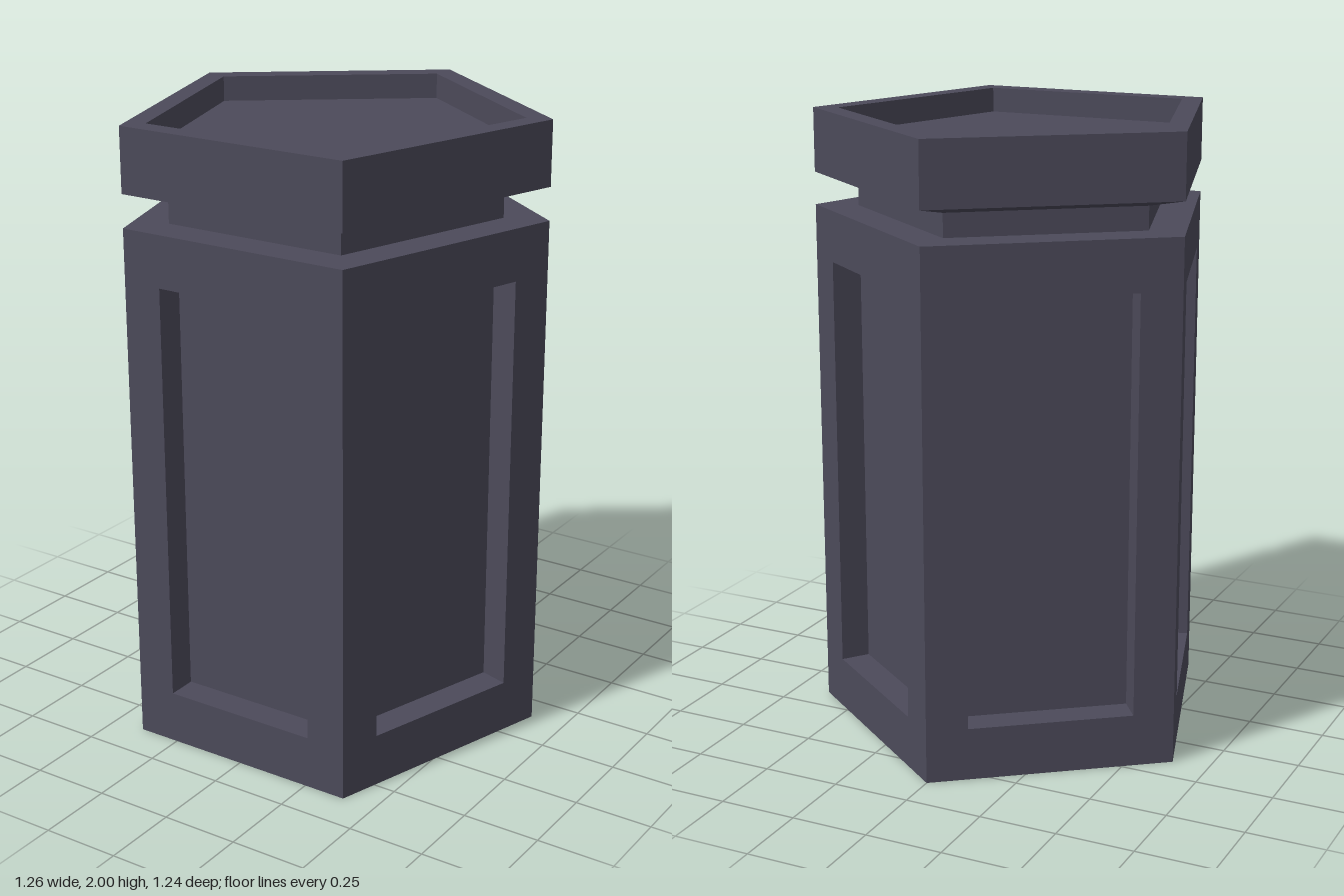
import * as THREE from 'three';

// Pentagon corners (x, z), counterclockwise seen from above, and its centre
const CORNERS = [[-0.39, 0.62], [0.39, 0.62], [0.632, -0.147], [0, -0.62], [-0.632, -0.147]];
const CENTRE_Z = 0.065;

// Pentagon ring at height y, scaled about its centre
function ring(scale, y) {
  return CORNERS.map(([x, z]) => new THREE.Vector3(x * scale, y, CENTRE_Z + (z - CENTRE_Z) * scale));
}

// Skin a series of equal rings; optionally close the last one
function loft(rings, closeEnd) {
  const points = [];
  const n = rings[0].length;
  for (let r = 0; r < rings.length - 1; r++) {
    for (let i = 0; i < n; i++) {
      const j = (i + 1) % n;
      const [a, b, c, d] = [rings[r][i], rings[r][j], rings[r + 1][j], rings[r + 1][i]];
      points.push(a, b, c, a, c, d);
    }
  }
  if (closeEnd) {
    const end = rings[rings.length - 1];
    for (let i = 1; i < n - 1; i++) points.push(end[0], end[i], end[i + 1]);
  }
  const geometry = new THREE.BufferGeometry().setFromPoints(points);
  geometry.computeVertexNormals();
  return geometry;
}

// Rectangle on a side wall between corners p and q, inset and pushed inwards
function wallRect(p, q, inset, low, high, depth) {
  const along = q.clone().sub(p).normalize();
  const inward = new THREE.Vector3(along.z, 0, -along.x).multiplyScalar(depth);
  const at = (t, y) => p.clone().lerp(q, t).setY(y).add(inward);
  return [at(inset, low), at(1 - inset, low), at(1 - inset, high), at(inset, high)];
}

export function createModel() {
  const group = new THREE.Group();
  const stone = new THREE.MeshStandardMaterial({ color: 0x4c4a5a });
  stone.name = 'darkStone';

  const add = (name, geometry, parent = group) => {
    const mesh = new THREE.Mesh(geometry, stone);
    mesh.name = name;
    parent.add(mesh);
  };

  // Five walls, each with a sunken panel
  const body = new THREE.Group();
  body.name = 'body';
  group.add(body);
  const foot = ring(1, 0);
  foot.forEach((p, i) => {
    const q = foot[(i + 1) % foot.length];
    add('panelWall' + (i + 1), loft([
      wallRect(p, q, 0, 0, 1.69, 0),
      wallRect(p, q, 0.166, 0.17, 1.525, 0),
      wallRect(p, q, 0.166, 0.17, 1.525, 0.095),
    ], true), body);
  });

  // Underside
  add('base', loft([ring(1, 0).reverse()], true), body);

  // Shoulder ledge and narrow neck
  add('neck', loft([ring(1, 1.69), ring(0.79, 1.69), ring(0.79, 1.765)], false));

  // Cap with sloped underside and a shallow tray on top
  add('cap', loft([
    ring(0.79, 1.765), ring(1, 1.795), ring(1, 2), ring(0.88, 2), ring(0.88, 1.92),
  ], true));

  return group;
}
